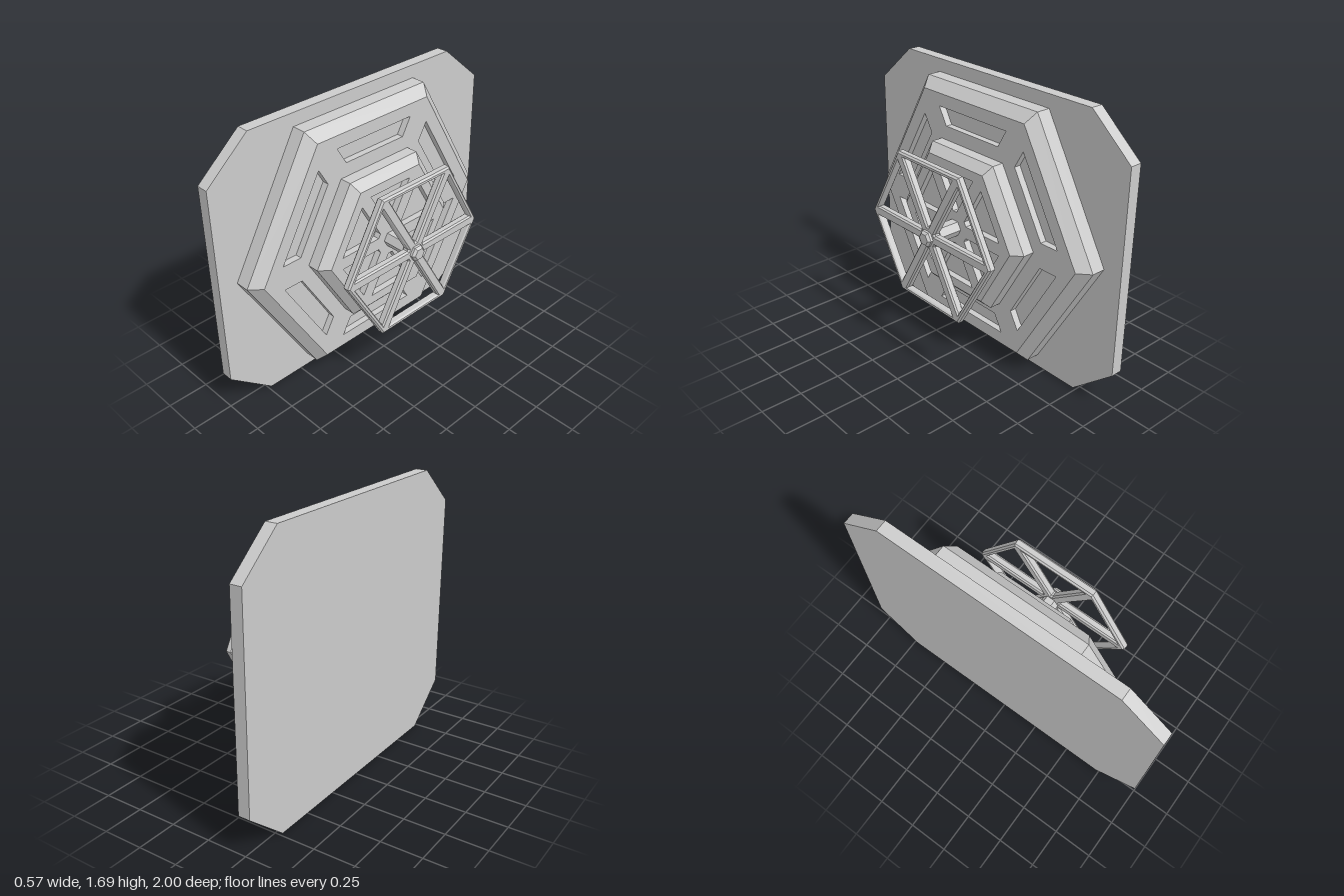
import * as THREE from 'three';

const material = new THREE.MeshStandardMaterial({ color: 0xcccccc, flatShading: true });
const TAN30 = Math.tan(Math.PI / 6);

function add(parent, name, geometry, z = 0) {
  const mesh = new THREE.Mesh(geometry, material);
  mesh.name = name;
  mesh.position.z = z;
  parent.add(mesh);
  return mesh;
}

// Hexagon with corners on the horizontal axis
function hexagon(radius) {
  const points = [];
  for (let i = 0; i < 6; i++) {
    const a = (i * Math.PI) / 3;
    points.push(new THREE.Vector2(radius * Math.cos(a), radius * Math.sin(a)));
  }
  return new THREE.Shape(points);
}

// Cuts six tapered openings, one per hexagon side, separated by spokes
function cutSlots(shape, inner, outer, gap) {
  const wi = inner * TAN30 - gap;
  const wo = outer * TAN30 - gap;
  for (let i = 0; i < 6; i++) {
    const points = [[-wi, inner], [-wo, outer], [wo, outer], [wi, inner]].map(([x, y]) =>
      new THREE.Vector2(x, y).rotateAround(new THREE.Vector2(), (i * Math.PI) / 3));
    shape.holes.push(new THREE.Path(points));
  }
  return shape;
}

// Six-sided shell around z from [radius, z] pairs
function hexShell(profile) {
  const points = profile.map(([r, z]) => new THREE.Vector2(r, z));
  return new THREE.LatheGeometry(points, 6, Math.PI / 2).rotateX(Math.PI / 2);
}

// Chamfered hexagonal step with recessed slots in its face
function addTier(parent, name, t) {
  const tier = new THREE.Group();
  tier.name = name;
  parent.add(tier);
  add(tier, name + 'Sides', hexShell([[t.radius, t.back], [t.radius, t.edge], [t.faceRadius, t.face]]));
  const shape = cutSlots(hexagon(t.faceRadius), t.inner, t.outer, t.gap);
  add(tier, name + 'Face',
    new THREE.ExtrudeGeometry(shape, { depth: t.depth, bevelEnabled: false }), t.face - t.depth);
  add(tier, name + 'SlotFloor', new THREE.ShapeGeometry(hexagon(t.faceRadius)), t.face - t.depth);
}

export function createModel() {
  const model = new THREE.Group();
  model.name = 'hatchWithHandwheel';

  // Built along z, then turned so that the wheel faces +x
  const hatch = new THREE.Group();
  hatch.name = 'hatch';
  hatch.position.y = 0.845;
  hatch.rotation.y = Math.PI / 2;
  model.add(hatch);

  // Wall plate with cut corners
  const plate = new THREE.Shape([
    [1, -0.615], [1, 0.615], [0.73, 0.845], [-0.73, 0.845],
    [-1, 0.615], [-1, -0.615], [-0.73, -0.845], [0.73, -0.845],
  ].map(([x, y]) => new THREE.Vector2(x, y)));
  add(hatch, 'wallPlate', new THREE.ExtrudeGeometry(plate, { depth: 0.072, bevelEnabled: false }), -0.285);

  // Two stepped hexagonal tiers
  addTier(hatch, 'outerTier', {
    radius: 0.885, faceRadius: 0.816, back: -0.213, edge: -0.128, face: -0.068,
    inner: 0.525, outer: 0.63, gap: 0.089, depth: 0.04,
  });
  addTier(hatch, 'innerTier', {
    radius: 0.51, faceRadius: 0.452, back: -0.068, edge: 0.002, face: 0.053,
    inner: 0.1, outer: 0.335, gap: 0.043, depth: 0.04,
  });

  // Shaft with chamfered tip
  add(hatch, 'shaft', hexShell([[0.05, 0.053], [0.05, 0.27], [0.036, 0.285], [0, 0.285]]));

  // Six-spoked handwheel
  const wheel = cutSlots(hexagon(0.512), 0.068, 0.413, 0.034);
  add(hatch, 'handwheel', new THREE.ExtrudeGeometry(wheel, {
    depth: 0.03, bevelThickness: 0.01, bevelSize: 0.01, bevelOffset: -0.01, bevelSegments: 1,
  }), 0.215);

  return model;
}
